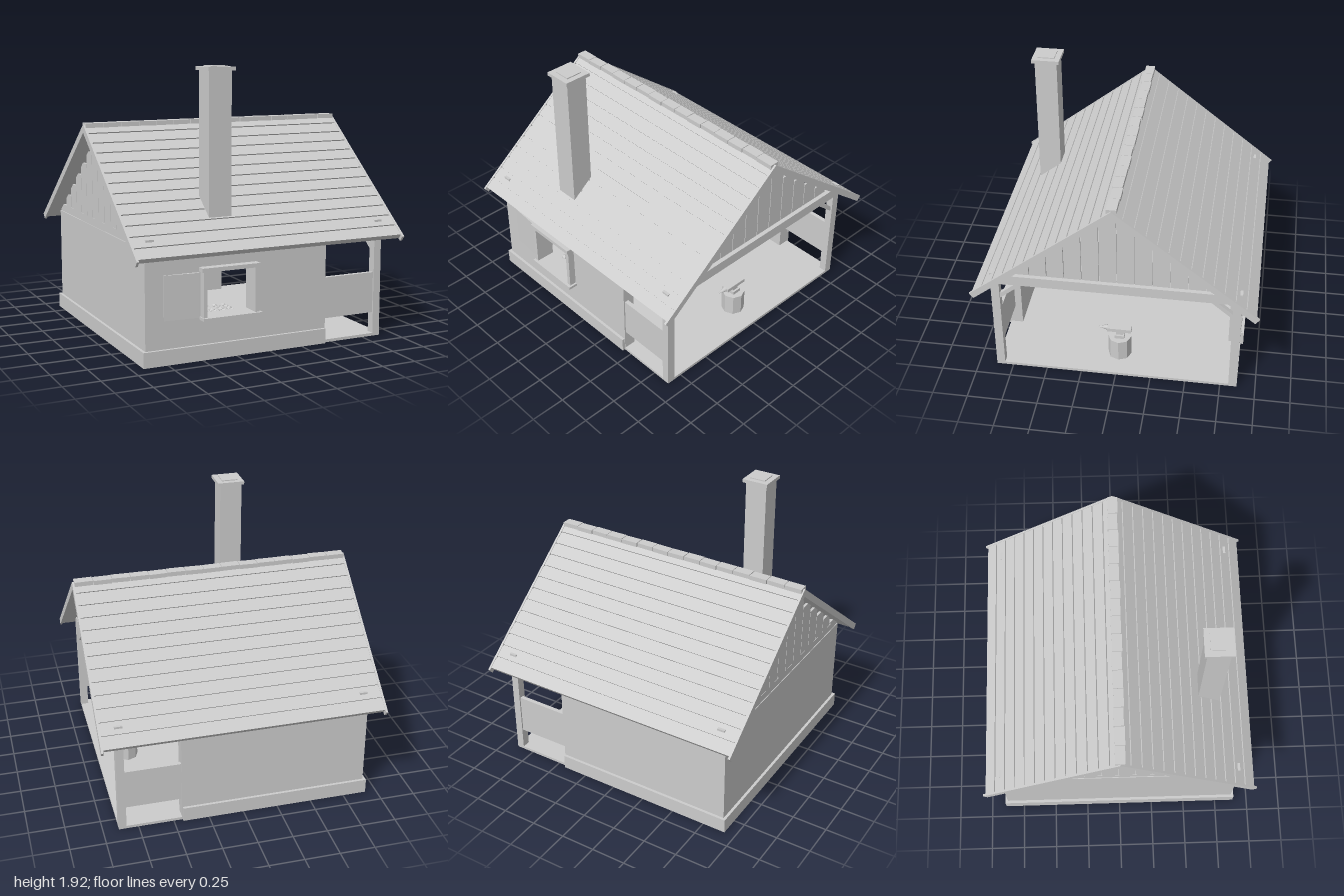
import * as THREE from 'three';

export function createModel() {
  const root = new THREE.Group();
  const grey = new THREE.MeshStandardMaterial({ color: 0xcccccc });
  grey.name = 'plain grey';

  const add = (name, geo, parent = root) => {
    const m = new THREE.Mesh(geo, grey);
    m.name = name;
    parent.add(m);
    return m;
  };
  // Box given by its lower and upper limits on each axis
  const box = (name, x0, x1, y0, y1, z0, z1, parent = root) => {
    const m = add(name, new THREE.BoxGeometry(x1 - x0, y1 - y0, z1 - z0), parent);
    m.position.set((x0 + x1) / 2, (y0 + y1) / 2, (z0 + z1) / 2);
    return m;
  };
  const rect = (P, x0, x1, y0, y1) => {
    const p = new P();
    p.moveTo(x0, y0);
    p.lineTo(x1, y0);
    p.lineTo(x1, y1);
    p.lineTo(x0, y1);
    p.closePath();
    return p;
  };

  // Floor and plinth
  box('floor', -0.9, 0.89, 0, 0.02, -0.87, 0.87);
  box('frontPlinth', -0.92, 0.435, 0, 0.105, 0.8, 0.89);
  box('backPlinth', -0.92, 0.435, 0, 0.105, -0.89, -0.8);
  box('sidePlinth', -0.92, -0.84, 0, 0.105, -0.8, 0.8);

  // Walls on three sides, the front one with a window opening
  const wall = rect(THREE.Shape, -0.9, 0.44, 0.01, 0.765);
  wall.holes.push(rect(THREE.Path, -0.48, -0.13, 0.295, 0.6));
  add('frontWall', new THREE.ExtrudeGeometry(wall, { depth: 0.09, bevelEnabled: false })).position.z = 0.78;
  box('backWall', -0.9, 0.44, 0.01, 0.765, -0.87, -0.78);
  box('sideWall', -0.9, -0.82, 0.01, 0.765, -0.78, 0.78);

  // Window frame and open shutter
  const win = new THREE.Group();
  win.name = 'window';
  root.add(win);
  box('windowLeftJamb', -0.508, -0.48, 0.29, 0.6, 0.85, 0.92, win);
  box('windowRightJamb', -0.13, -0.1, 0.29, 0.6, 0.85, 0.92, win);
  box('windowLintel', -0.52, -0.098, 0.6, 0.628, 0.85, 0.93, win);
  box('windowSill', -0.515, -0.085, 0.275, 0.295, 0.85, 0.94, win);
  const shutter = box('shutter', -0.77, -0.525, 0.295, 0.595, 0.865, 0.885);
  shutter.rotation.y = -0.07;

  // Posts, tie beams, braces and gable boards
  for (const s of [-1, 1]) {
    box('tieBeam', s > 0 ? 0.83 : -0.895, s > 0 ? 0.89 : -0.83, 0.745, 0.82, -0.865, 0.865);
    for (const t of [-1, 1]) {
      const z0 = t > 0 ? 0.81 : -0.87;
      box('cornerPost', s > 0 ? 0.835 : -0.89, s > 0 ? 0.89 : -0.835, 0, 0.835, z0, z0 + 0.06);
      if (s > 0) {
        const brace = add('brace', new THREE.BoxGeometry(0.035, 0.03, 0.2));
        brace.position.set(0.86, 0.69, t * 0.74);
        brace.rotation.x = t * 0.7;
      }
    }
    for (let i = 0; i < 14; i++) {
      const z = 0.05 + 0.122 * (6 - i);
      const x = s > 0 ? 0.85 : -0.885;
      box('gableBoard', x - 0.009, x + 0.009, 0.815, 1.44 - 0.775 * Math.abs(z), z - 0.0585, z + 0.0585);
    }
    // Porch side panel
    box('porchPanel', 0.44, 0.84, 0.17, 0.46, s * 0.845 - 0.015, s * 0.845 + 0.015);
  }

  // Roof: two identical slopes of planks over a deck
  const slope = Math.atan2(0.78, 0.995);
  for (const turn of [0, Math.PI]) {
    const side = new THREE.Group();
    side.name = 'roofSide';
    side.rotation.y = turn;
    const tilt = new THREE.Group();
    tilt.name = 'roofSlope';
    tilt.position.y = 1.505;
    tilt.rotation.x = slope;
    side.add(tilt);
    root.add(side);
    box('roofDeck', -0.985, 0.985, -0.04, -0.012, 0, 1.24, tilt);
    const n = 13, step = 1.25 / n;
    for (let i = 0; i < n; i++) {
      box('roofPlank', -0.988, 0.988, -0.014, -0.002, i * step, (i + 1) * step - 0.01, tilt);
    }
    for (const s of [-1, 1]) {
      box('bargeBoard', s * 0.992 - 0.008, s * 0.992 + 0.008, -0.045, 0.001, 0, 1.262, tilt);
    }
  }

  // Ridge caps, laid slightly unevenly
  for (let i = 0; i < 15; i++) {
    const x = -0.99 + i * 0.132;
    const wob = 0.003 * Math.sin(i * 2.3);
    const cap = box('ridgeCap', x, x + 0.128, 1.482, 1.514, -0.036 + wob, 0.034 + wob);
    cap.rotation.z = 0.015 * Math.sin(i * 1.7);
  }

  // Chimney, smoke hood and hearth
  box('chimney', -0.385, -0.22, 0.73, 1.89, 0.58, 0.74);
  box('chimneyCap', -0.4, -0.2, 1.89, 1.915, 0.56, 0.76);
  box('chimneyTop', -0.36, -0.24, 1.915, 1.922, 0.6, 0.72);
  const hood = add('smokeHood', new THREE.CylinderGeometry(0.115, 0.152, 0.12, 4, 1).rotateY(Math.PI / 4).toNonIndexed());
  hood.geometry.computeVertexNormals();
  hood.position.set(-0.303, 0.685, 0.65);
  box('hearth', -0.46, -0.15, 0.02, 0.27, 0.545, 0.785);
  for (let i = 0; i < 16; i++) {
    const coal = add('coal', new THREE.IcosahedronGeometry(0.022, 0));
    coal.position.set(-0.4 + (i % 4) * 0.064, 0.27, 0.585 + Math.floor(i / 4) * 0.05);
    coal.rotation.set(i, i * 2, 0);
  }

  // Chest by the back wall
  box('chest', -0.3, 0.0, 0.02, 0.19, -0.785, -0.67);

  // Anvil on an eight-sided stump
  const stump = add('stump', new THREE.CylinderGeometry(0.084, 0.084, 0.16, 8).toNonIndexed());
  stump.geometry.computeVertexNormals();
  stump.position.set(0.67, 0.1, 0);
  box('anvilFoot', 0.635, 0.705, 0.18, 0.205, -0.035, 0.035);
  box('anvilWaist', 0.65, 0.69, 0.205, 0.24, -0.025, 0.025);
  box('anvilFace', 0.64, 0.7, 0.235, 0.262, -0.085, 0.09);
  const horn = add('anvilHorn', new THREE.ConeGeometry(0.02, 0.075, 8).rotateX(Math.PI / 2));
  horn.position.set(0.67, 0.25, 0.127);

  return root;
}
